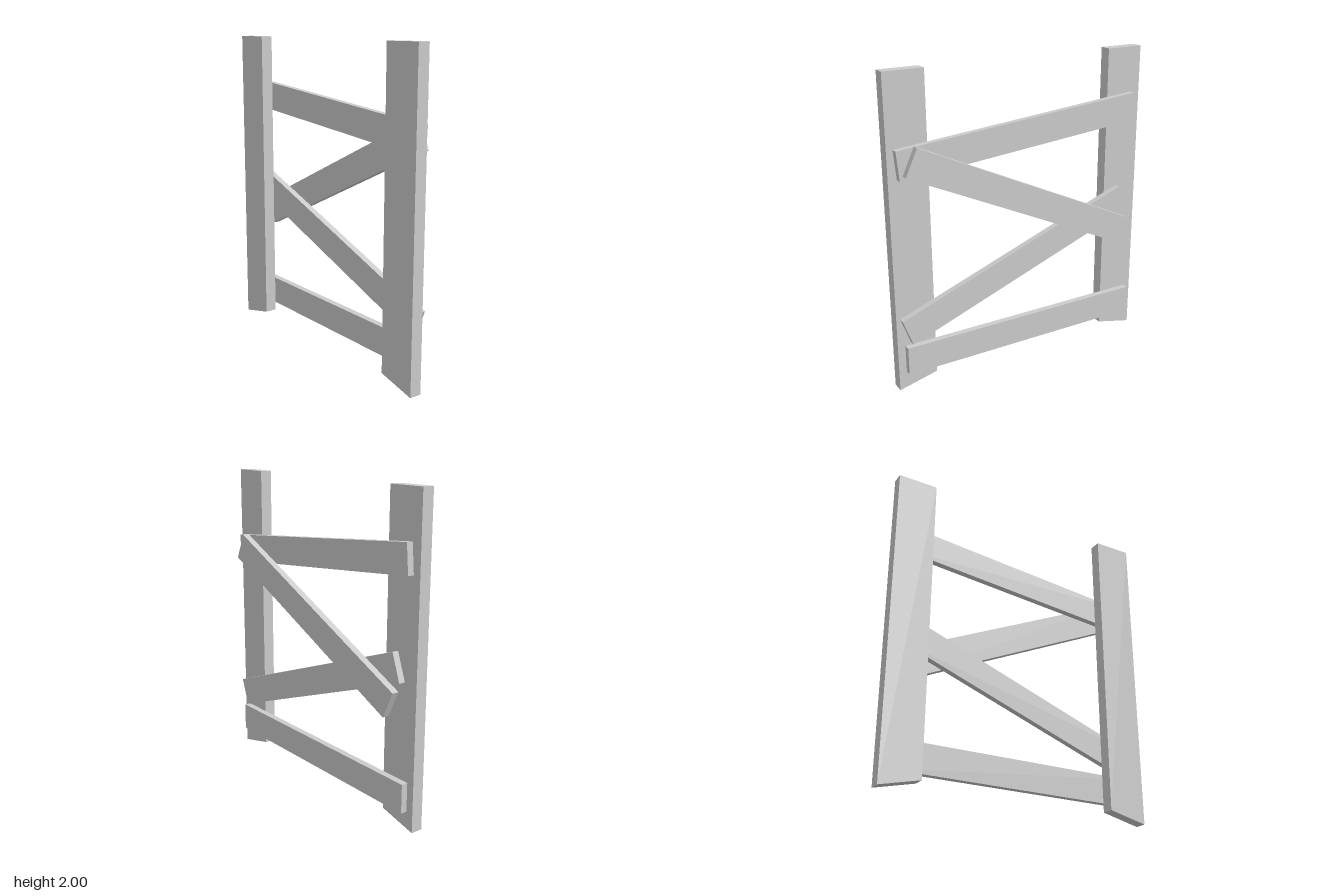
import * as THREE from 'three';

const material = new THREE.MeshStandardMaterial({ color: 0xcccccc, flatShading: true });
const PLANK_WIDTH = 0.183;

// Upright with a foot cut at a slant; side is -1 or 1
function makePost(side, name) {
  const outline = [[0.64, 0.06], [0.895, 0], [0.895, 2], [0.64, 2]];
  const shape = new THREE.Shape(outline.map(([x, y]) => new THREE.Vector2(side * x, y)));
  const geometry = new THREE.ExtrudeGeometry(shape, { depth: 0.0775, bevelEnabled: false });
  const post = new THREE.Mesh(geometry, material);
  post.position.z = 0.005;
  post.name = name;
  return post;
}

// Straight board tilted in the plane of the fence, spanning zBack to zFront
function makePlank({ name, x, y, length, angle, zBack, zFront }) {
  const geometry = new THREE.BoxGeometry(length, PLANK_WIDTH, zFront - zBack);
  const plank = new THREE.Mesh(geometry, material);
  plank.position.set(x, y, (zBack + zFront) / 2);
  plank.rotation.z = THREE.MathUtils.degToRad(angle);
  plank.name = name;
  return plank;
}

export function createModel() {
  const group = new THREE.Group();
  group.name = 'fenceSection';

  group.add(makePost(1, 'leftPost'), makePost(-1, 'rightPost'));

  // Three planks lie against the posts, the brace lies behind them
  const inner = { zBack: -0.0375, zFront: 0.005 };
  const outer = { zBack: -0.0825, zFront: -0.0375 };
  const planks = [
    { name: 'bottomPlank', x: 0, y: 0.21, length: 1.69, angle: 0, ...inner },
    { name: 'middlePlank', x: 0.035, y: 0.697, length: 1.71, angle: -20, ...inner },
    { name: 'topPlank', x: 0.005, y: 1.54, length: 1.69, angle: -5.1, ...inner },
    { name: 'backBrace', x: 0.0125, y: 1.129, length: 1.697, angle: 25, ...outer },
  ];
  planks.forEach((plank) => group.add(makePlank(plank)));

  return group;
}
